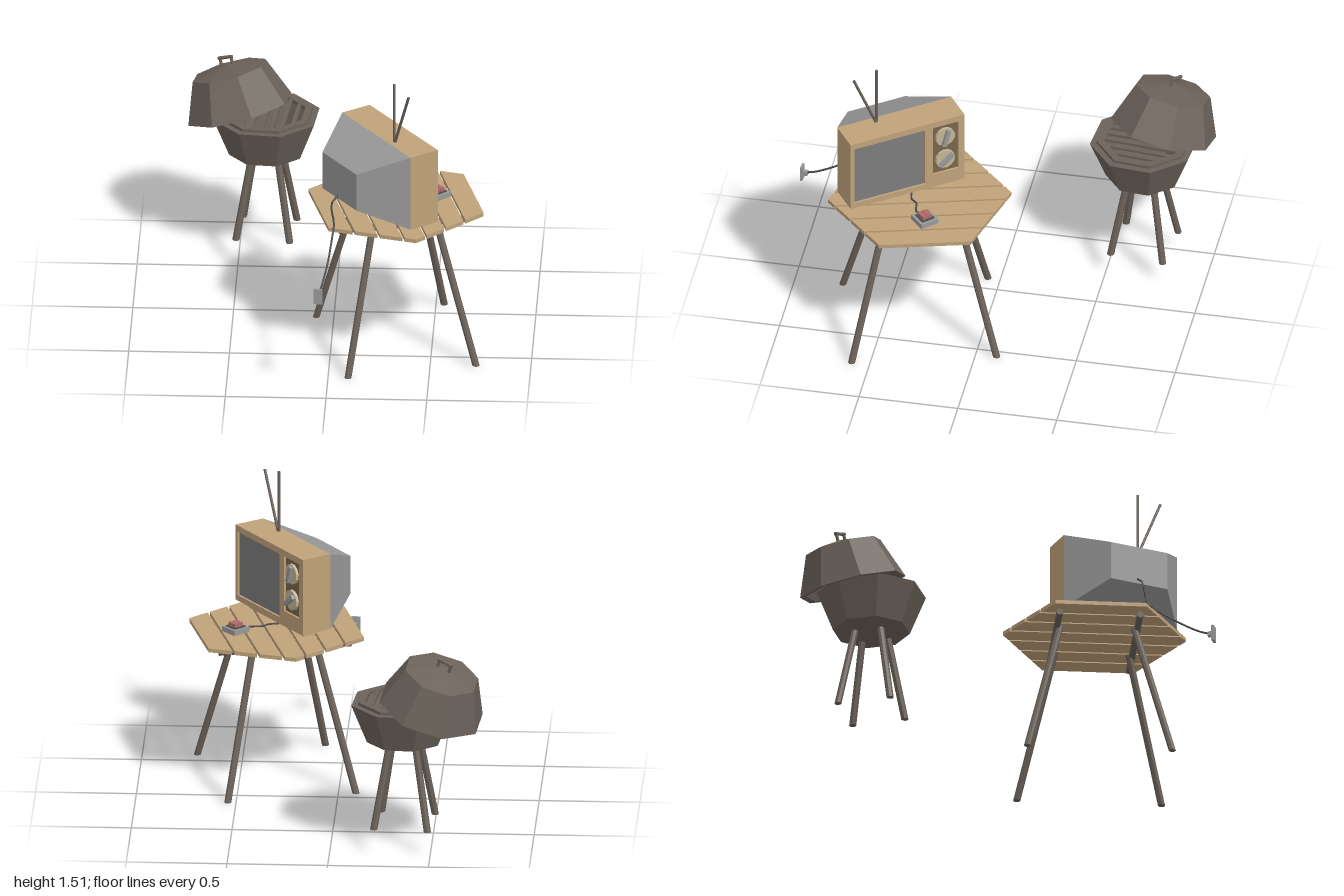
import * as THREE from 'three';

const mat = (color) => new THREE.MeshStandardMaterial({ color, flatShading: true });
const wood = mat(0xbfa27a), iron = mat(0x6b625a), grey = mat(0x999999), glass = mat(0x7c7c7c);
const darkWood = mat(0x77664c), cream = mat(0xc4b595), red = mat(0xb06a68), black = mat(0x4c4c4c);
const V = (x, y, z) => new THREE.Vector3(x, y, z);

function add(parent, name, geo, material, x = 0, y = 0, z = 0) {
  const m = new THREE.Mesh(geo, material);
  m.name = name;
  m.position.set(x, y, z);
  parent.add(m);
  return m;
}

function group(parent, name, x = 0, y = 0, z = 0, turn = 0) {
  const g = new THREE.Group();
  g.name = name;
  g.position.set(x, y, z);
  g.rotation.y = turn;
  parent.add(g);
  return g;
}

const box = (w, h, d) => new THREE.BoxGeometry(w, h, d);

// straight round bar between two points
function rod(parent, name, a, b, r, material = iron) {
  const m = add(parent, name, new THREE.CylinderGeometry(r, r, a.distanceTo(b), 8), material);
  m.position.copy(a).add(b).multiplyScalar(0.5);
  m.quaternion.setFromUnitVectors(V(0, 1, 0), b.clone().sub(a).normalize());
  return m;
}

// splayed leg: a sheared cylinder, so both ends stay level
function leg(parent, name, foot, top, r) {
  const h = top.y - foot.y;
  const g = new THREE.CylinderGeometry(r, r, h, 8).translate(0, h / 2, 0);
  const p = g.attributes.position;
  for (let i = 0; i < p.count; i++) {
    const t = p.getY(i) / h;
    p.setX(i, p.getX(i) + t * (top.x - foot.x));
    p.setZ(i, p.getZ(i) + t * (top.z - foot.z));
  }
  return add(parent, name, g, iron, foot.x, foot.y, foot.z);
}

// octagonal turned shape
const octagon = (pts) => new THREE.LatheGeometry(
  pts.map(([r, y]) => new THREE.Vector2(r, y)), 8, THREE.MathUtils.degToRad(17));

function cable(parent, name, pts, r) {
  const curve = new THREE.CatmullRomCurve3(pts.map((p) => V(...p)));
  add(parent, name, new THREE.TubeGeometry(curve, 20, r, 6), black);
}

function rect(Kind, x0, y0, x1, y1) {
  const s = new Kind();
  s.moveTo(x0, y0);
  s.lineTo(x1, y0);
  s.lineTo(x1, y1);
  s.lineTo(x0, y1);
  s.closePath();
  return s;
}

function buildTable(root) {
  const t = group(root, 'table', 0.32, 0, 0.327, Math.PI / 12);
  const R = 0.455, half = R * Math.cos(Math.PI / 6), n = 7, gap = 0.006;
  const len = (u) => R - Math.abs(u) * Math.tan(Math.PI / 6);
  // hexagonal top cut into planks
  for (let i = 0; i < n; i++) {
    const a = -half + (2 * half * i) / n + (i ? gap : 0);
    const b = -half + (2 * half * (i + 1)) / n - (i < n - 1 ? gap : 0);
    const us = a < 0 && b > 0 ? [a, 0, b] : [a, b];
    const pts = us.map((u) => new THREE.Vector2(u, -len(u)))
      .concat(us.slice().reverse().map((u) => new THREE.Vector2(u, len(u))));
    const g = new THREE.ExtrudeGeometry(new THREE.Shape(pts), { depth: 0.02, bevelEnabled: false });
    add(t, 'plank', g.rotateX(Math.PI / 2), wood, 0, 0.77, 0);
  }
  // cross beams and legs
  for (const z of [-1, 1]) {
    rod(t, 'beam', V(-0.335, 0.734, z * 0.2), V(0.335, 0.734, z * 0.2), 0.017);
    for (const x of [-1, 1]) {
      leg(t, 'tableLeg', V(x * 0.325, 0, z * 0.36), V(x * 0.16, 0.735, z * 0.185), 0.018);
    }
  }
}

function buildTelevision(root) {
  const tv = group(root, 'television', 0.36, 1.0025, 0.38, 2.19);
  const W = 0.62, H = 0.395, hw = W / 2, hh = H / 2;
  // wooden cabinet with a framed front
  const face = rect(THREE.Shape, -hw, -hh, hw, hh);
  face.holes.push(rect(THREE.Path, -0.289, -0.168, 0.095, 0.165));
  face.holes.push(rect(THREE.Path, 0.139, -0.122, 0.276, 0.165));
  add(tv, 'frontFrame', new THREE.ExtrudeGeometry(face, { depth: 0.02, bevelEnabled: false }), wood, 0, 0, -0.02);
  add(tv, 'cabinet', box(W, H, 0.142), wood, 0, 0, -0.091);
  add(tv, 'screen', box(0.384, 0.333, 0.01), glass, -0.097, -0.0015, -0.016);
  add(tv, 'dialPanel', box(0.137, 0.287, 0.01), darkWood, 0.2075, 0.0215, -0.016);
  add(tv, 'plinth', box(0.5, 0.035, 0.08), wood, 0, -0.215, -0.085);
  // tapered back
  const back = new THREE.CylinderGeometry(Math.SQRT1_2 / 2, Math.SQRT1_2, 1, 4)
    .rotateY(Math.PI / 4).rotateX(-Math.PI / 2).scale(W, H, 0.218);
  add(tv, 'backShell', back, grey, 0, 0, -0.271);
  // dials
  for (const [y, turn] of [[0.092, -0.3], [-0.045, -0.9]]) {
    const d = group(tv, 'dial', 0.205, y, 0);
    d.rotation.z = turn;
    add(d, 'dialDisc', new THREE.CylinderGeometry(0.052, 0.052, 0.016, 12).rotateX(Math.PI / 2), cream, 0, 0, -0.004);
    add(d, 'dialGrip', box(0.022, 0.09, 0.02), grey, 0, 0, 0.012);
  }
  // aerials
  rod(root, 'aerial', V(0.32, 1.19, 0.545), V(0.32, 1.515, 0.545), 0.007);
  rod(root, 'aerial', V(0.322, 1.19, 0.545), V(0.395, 1.49, 0.645), 0.007);
  // power lead and wall socket
  cable(root, 'powerLead', [[0.05, 0.93, 0.59], [0.012, 0.89, 0.625], [0.025, 0.79, 0.645],
    [0.018, 0.74, 0.69], [0, 0.65, 0.81], [-0.025, 0.58, 0.92], [-0.038, 0.557, 0.975]], 0.005);
  const s = group(root, 'socket', -0.04, 0.555, 0.992, -0.1);
  add(s, 'socketPlate', box(0.043, 0.08, 0.012), grey);
  add(s, 'plug', box(0.02, 0.024, 0.026), grey, 0, 0, -0.015);
}

function buildController(root) {
  const c = group(root, 'controller', 0.52, 0.77, 0.262, 0.75);
  add(c, 'controllerBase', box(0.098, 0.026, 0.098), grey, 0, 0.013, 0);
  add(c, 'controllerInset', box(0.07, 0.006, 0.07), black, 0, 0.028, 0);
  for (const x of [-1, 1]) {
    for (const z of [-1, 1]) {
      add(c, 'button', box(0.025, 0.02, 0.025), red, x * 0.0135, 0.039, z * 0.0135);
    }
  }
  cable(root, 'controllerLead', [[0.31, 0.776, 0.37], [0.36, 0.776, 0.36], [0.39, 0.776, 0.33],
    [0.45, 0.776, 0.32], [0.49, 0.778, 0.285]], 0.005);
}

function buildGrill(root) {
  const g = group(root, 'grill', -0.365, 0, -0.673);
  add(g, 'bowl', octagon([[0, 0.515], [0.192, 0.555], [0.272, 0.755], [0.238, 0.755], [0.17, 0.575], [0, 0.54]]), iron);
  // grate: octagonal rim with bars
  add(g, 'grateRim', octagon([[0.2, 0.75], [0.238, 0.75], [0.238, 0.77], [0.2, 0.77], [0.2, 0.75]]), iron);
  const grate = group(g, 'grate', 0, 0.76, 0, THREE.MathUtils.degToRad(-5.5));
  for (let i = -3; i <= 3; i++) {
    const u = i * 0.05;
    add(grate, 'grateBar', box(0.02, 0.014, 2 * Math.min(0.2, 0.275 - Math.abs(u))), iron, u, 0, 0);
  }
  // legs
  for (let i = 0; i < 4; i++) {
    const a = THREE.MathUtils.degToRad(50.5 + 90 * i), c = Math.cos(a), s = Math.sin(a);
    leg(g, 'grillLeg', V(c * 0.19, 0.12, s * 0.19), V(c * 0.09, 0.555, s * 0.09), 0.018);
  }
  // tilted lid with handle
  const lid = group(root, 'lid', -0.5, 0.745, -0.742);
  lid.quaternion.setFromUnitVectors(V(0, 1, 0), V(-0.287, 1, -0.2).normalize());
  add(lid, 'lidShell', octagon([[0, 0.222], [0.172, 0.185], [0.24, 0], [0.272, 0], [0.192, 0.205], [0, 0.245]]), iron);
  const h = group(lid, 'handle', 0, 0.235, 0, -0.46);
  for (const x of [-0.033, 0.033]) rod(h, 'handlePost', V(x, 0, 0), V(x, 0.042, 0), 0.008);
  rod(h, 'handleBar', V(-0.041, 0.04, 0), V(0.041, 0.04, 0), 0.009);
}

export function createModel() {
  const root = new THREE.Group();
  root.name = 'patioSet';
  buildTable(root);
  buildTelevision(root);
  buildController(root);
  buildGrill(root);
  return root;
}
